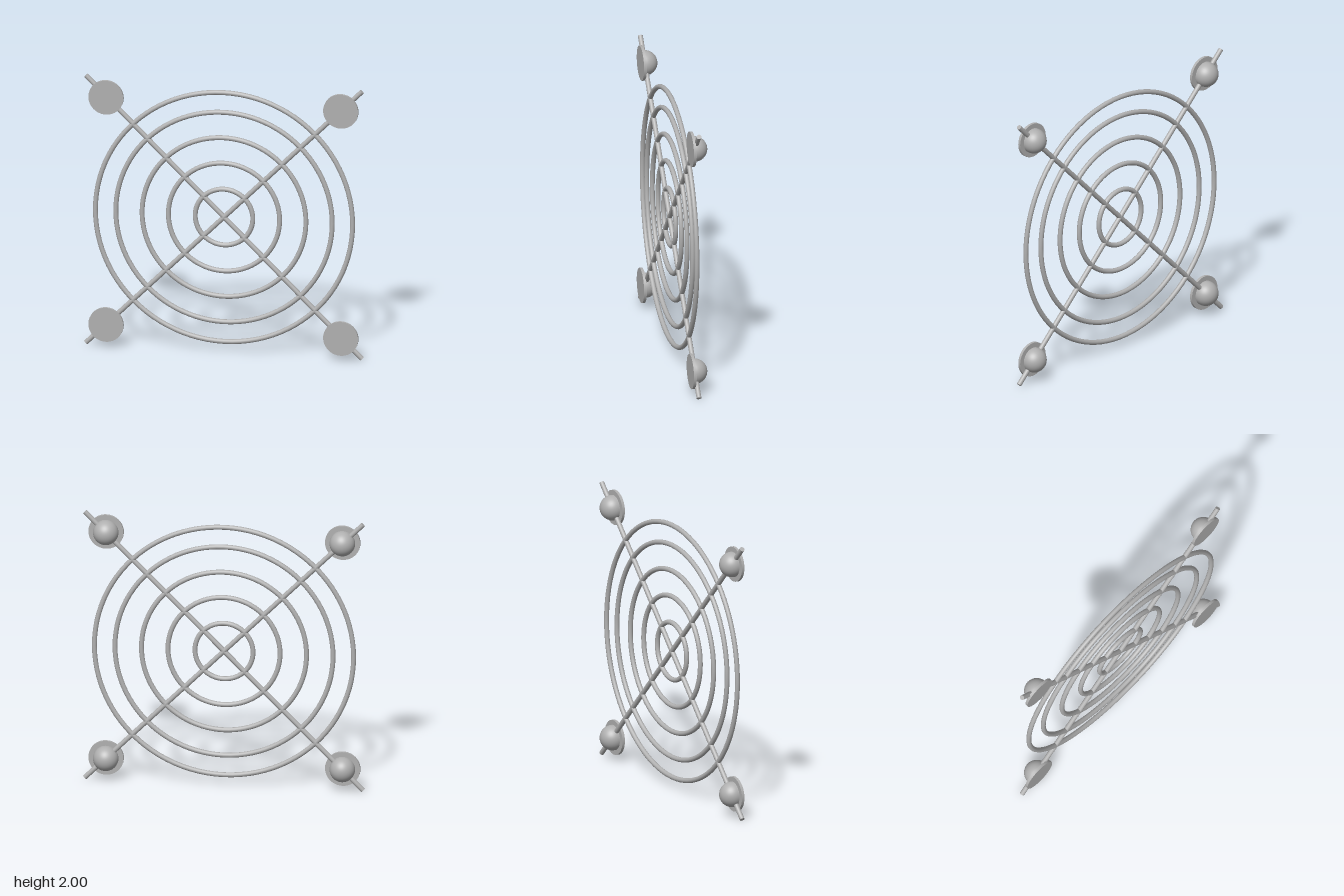
import * as THREE from 'three';

export function createModel() {
  const model = new THREE.Group();
  model.name = 'fanGuard';
  const steel = new THREE.MeshStandardMaterial({ color: 0xb0b0b0 });
  steel.name = 'grey steel';

  const wire = 0.0175; // wire radius
  const wireZ = 0.029; // plane of the wires

  const add = (name, geometry, x, y, z, parent = model) => {
    const mesh = new THREE.Mesh(geometry, steel);
    mesh.name = name;
    mesh.position.set(x, y, z);
    parent.add(mesh);
    return mesh;
  };

  // Concentric wire rings
  [0.206, 0.398, 0.586, 0.774, 0.92].forEach((r, i) =>
    add('ring' + (i + 1), new THREE.TorusGeometry(r, wire, 16, 96), 0, 1, wireZ));

  // Two diagonal rods crossing at the centre
  const rod = new THREE.CylinderGeometry(wire, wire, 2.793, 20);
  for (const s of [-1, 1]) {
    add(s < 0 ? 'rodRisingLeft' : 'rodRisingRight', rod, 0, 1, wireZ).rotation.z = s * Math.PI / 4;
  }

  // Corner feet: flat disc in front, hemispherical dome behind
  const disc = new THREE.CylinderGeometry(0.125, 0.125, 0.02, 48).rotateX(Math.PI / 2);
  const dome = new THREE.SphereGeometry(0.09, 36, 16, 0, Math.PI * 2, 0, Math.PI / 2).rotateX(-Math.PI / 2);
  const collar = new THREE.CylinderGeometry(0.09, 0.09, 0.012, 36, 1, true).rotateX(Math.PI / 2);
  for (const sx of [-1, 1]) {
    for (const sy of [-1, 1]) {
      const foot = new THREE.Group();
      foot.name = (sy > 0 ? 'upper' : 'lower') + (sx > 0 ? 'Left' : 'Right') + 'Foot';
      foot.position.set(sx * 0.84, 1 + sy * 0.84, 0);
      add('disc', disc, 0, 0, 0.05, foot);
      add('dome', dome, 0, 0, 0.03, foot);
      add('collar', collar, 0, 0, 0.036, foot);
      model.add(foot);
    }
  }
  return model;
}
